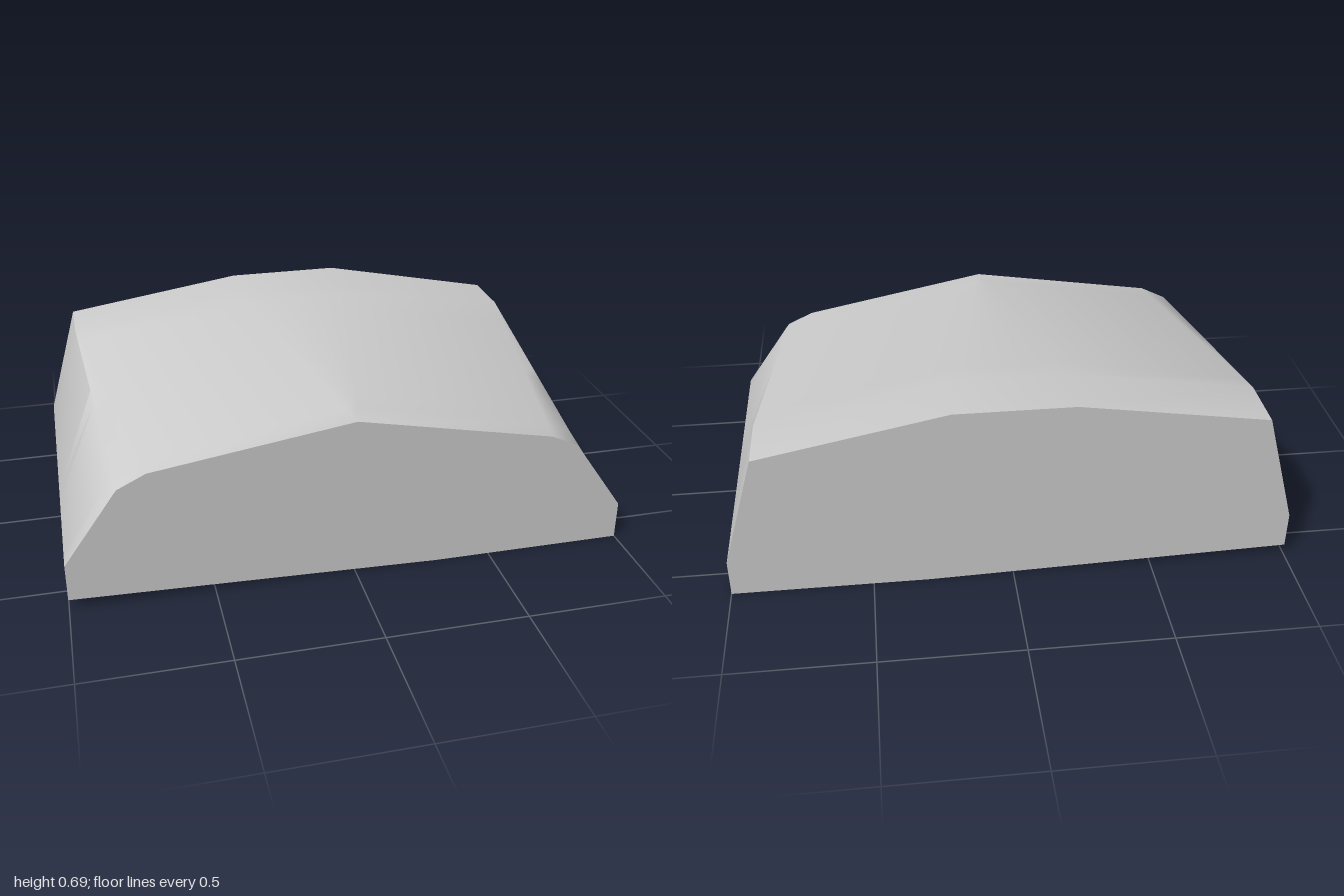
import * as THREE from 'three';
import { toCreasedNormals } from 'three/addons/utils/BufferGeometryUtils.js';

// Cross-sections, counter-clockwise seen from the front; doubled points merge a corner
const BACK = [
  [0.3, 0], [1, 0], [1, 0.14], [0.877, 0.56], [0.877, 0.56], [0.21, 0.695],
  [-0.21, 0.695], [-0.88, 0.594], [-0.88, 0.594], [-1, 0.175], [-1, 0.04],
];
const FRONT = [
  [0.3, 0], [1, 0], [1, 0.14], [0.81, 0.408], [0.71, 0.455], [0, 0.598],
  [0, 0.598], [-0.71, 0.492], [-0.81, 0.443], [-1, 0.175], [-1, 0.04],
];
const Z_BACK = -0.612, Z_BEND = -0.4, Z_FRONT = 0.612, STEPS = 12;

function section(t, z) {
  return BACK.map(([x, y], i) => new THREE.Vector3(
    THREE.MathUtils.lerp(x, FRONT[i][0], t), THREE.MathUtils.lerp(y, FRONT[i][1], t), z));
}

// Triangles to geometry, leaving out collapsed ones
function toGeometry(triangles) {
  const area = new THREE.Triangle();
  const points = triangles.filter(([a, b, c]) => area.set(a, b, c).getArea() > 1e-7).flat();
  return new THREE.BufferGeometry().setFromPoints(points);
}

function cap(ring, flip) {
  const triangles = [];
  for (let i = 1; i < ring.length - 1; i++) {
    triangles.push(flip ? [ring[0], ring[i + 1], ring[i]] : [ring[0], ring[i], ring[i + 1]]);
  }
  const geometry = toGeometry(triangles);
  geometry.computeVertexNormals();
  return geometry;
}

export function createModel() {
  const group = new THREE.Group();
  group.name = 'taperedBlock';
  const grey = new THREE.MeshStandardMaterial({ color: 0xcccccc });
  grey.name = 'light grey';
  const add = (name, geometry) => {
    const mesh = new THREE.Mesh(geometry, grey);
    mesh.name = name;
    group.add(mesh);
  };

  // Straight rear stretch, then a taper toward the front
  const rings = [section(0, Z_BACK)];
  for (let k = 0; k <= STEPS; k++) {
    const t = k / STEPS;
    rings.push(section(t, THREE.MathUtils.lerp(Z_BEND, Z_FRONT, t)));
  }

  // Skin lofted between neighbouring sections
  const skin = [];
  for (let k = 0; k < rings.length - 1; k++) {
    const p = rings[k], q = rings[k + 1];
    for (let i = 0; i < p.length; i++) {
      const j = (i + 1) % p.length;
      skin.push([p[i], p[j], q[j]], [p[i], q[j], q[i]]);
    }
  }
  add('shell', toCreasedNormals(toGeometry(skin), THREE.MathUtils.degToRad(40)));

  // Flat ends
  add('frontFace', cap(rings[rings.length - 1], false));
  add('backFace', cap(rings[0], true));
  return group;
}
